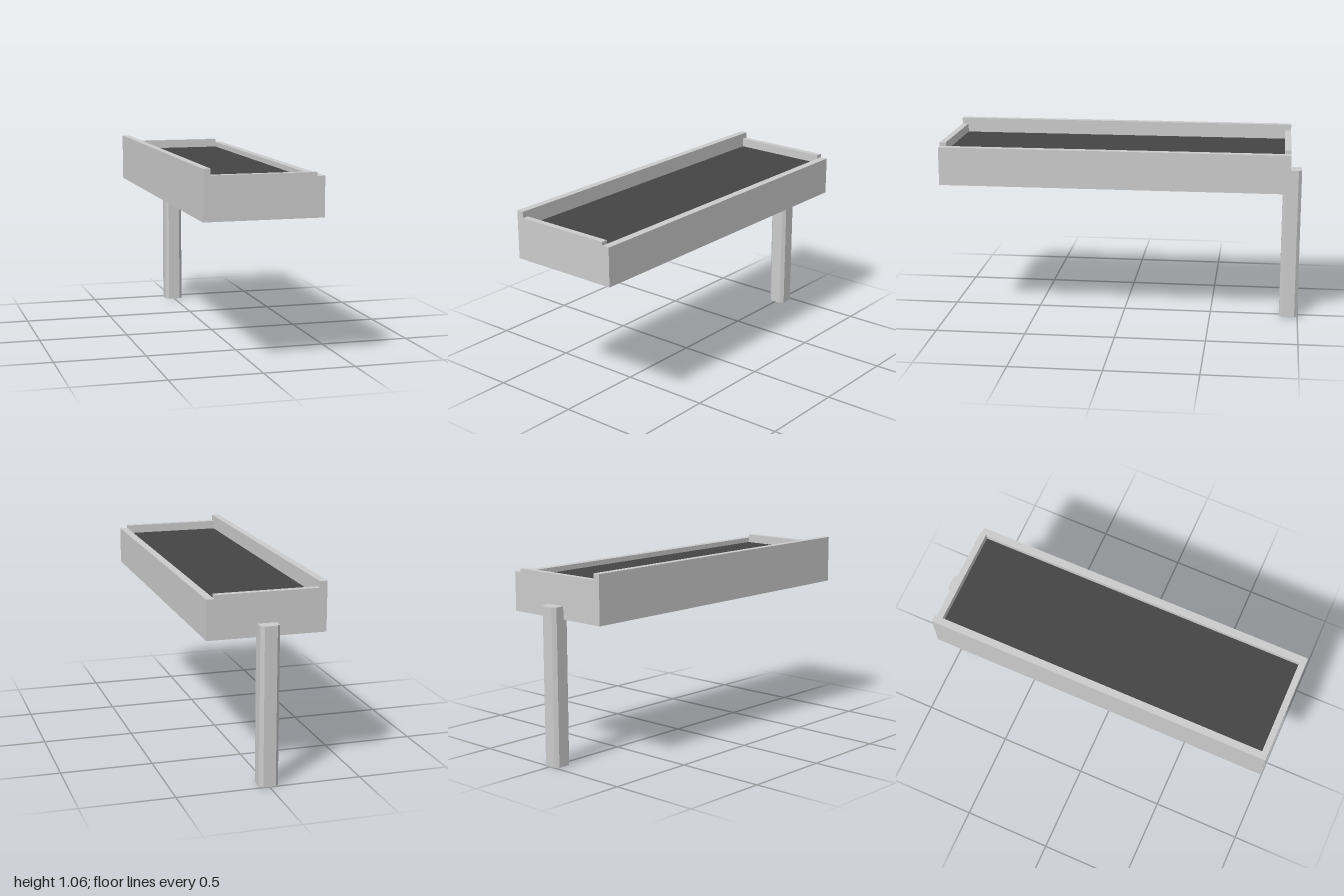
import * as THREE from 'three';

const BOTTOM = 0.79;
const BACK = -0.935, FRONT = 1;

export function createModel() {
  const group = new THREE.Group();
  const grey = new THREE.MeshStandardMaterial({ color: 0xcccccc, flatShading: true });
  const dark = new THREE.MeshStandardMaterial({ color: 0x444444, flatShading: true });

  // Box given by its two extremes on each axis
  function box(name, [x0, x1], [y0, y1], [z0, z1], material = grey) {
    const mesh = new THREE.Mesh(new THREE.BoxGeometry(x1 - x0, y1 - y0, z1 - z0), material);
    mesh.name = name;
    mesh.position.set((x0 + x1) / 2, (y0 + y1) / 2, (z0 + z1) / 2);
    group.add(mesh);
  }

  // Tray walls: tall right side, lower left side, ends in between
  const inX = [-0.28, 0.277];
  const inZ = [BACK + 0.035, FRONT - 0.035];
  box('rightWall', [-0.32, inX[0]], [BOTTOM, 1.057], [BACK, FRONT]);
  box('leftWall', [inX[1], 0.32], [BOTTOM, 1.003], [BACK, FRONT]);
  box('frontWall', inX, [BOTTOM, 1.023], [inZ[1], FRONT]);
  box('backWall', inX, [BOTTOM, 1.023], [BACK, inZ[0]]);

  // Tray base with the dark bed on top
  box('trayBase', inX, [BOTTOM, 0.96], inZ);
  box('bed', inX, [0.96, 0.975], inZ, dark);

  // Post with chamfered corners, set into the back wall
  const w = 0.052, c = 0.018;
  const shape = new THREE.Shape([
    [-w, -w + c], [-w + c, -w], [w - c, -w], [w, -w + c],
    [w, w - c], [w - c, w], [-w + c, w], [-w, w - c],
  ].map(([x, y]) => new THREE.Vector2(x, y)));
  const postGeometry = new THREE.ExtrudeGeometry(shape, { depth: 0.86, bevelEnabled: false });
  postGeometry.rotateX(-Math.PI / 2);
  const post = new THREE.Mesh(postGeometry, grey);
  post.name = 'post';
  post.position.z = -1 + w;
  group.add(post);

  return group;
}
